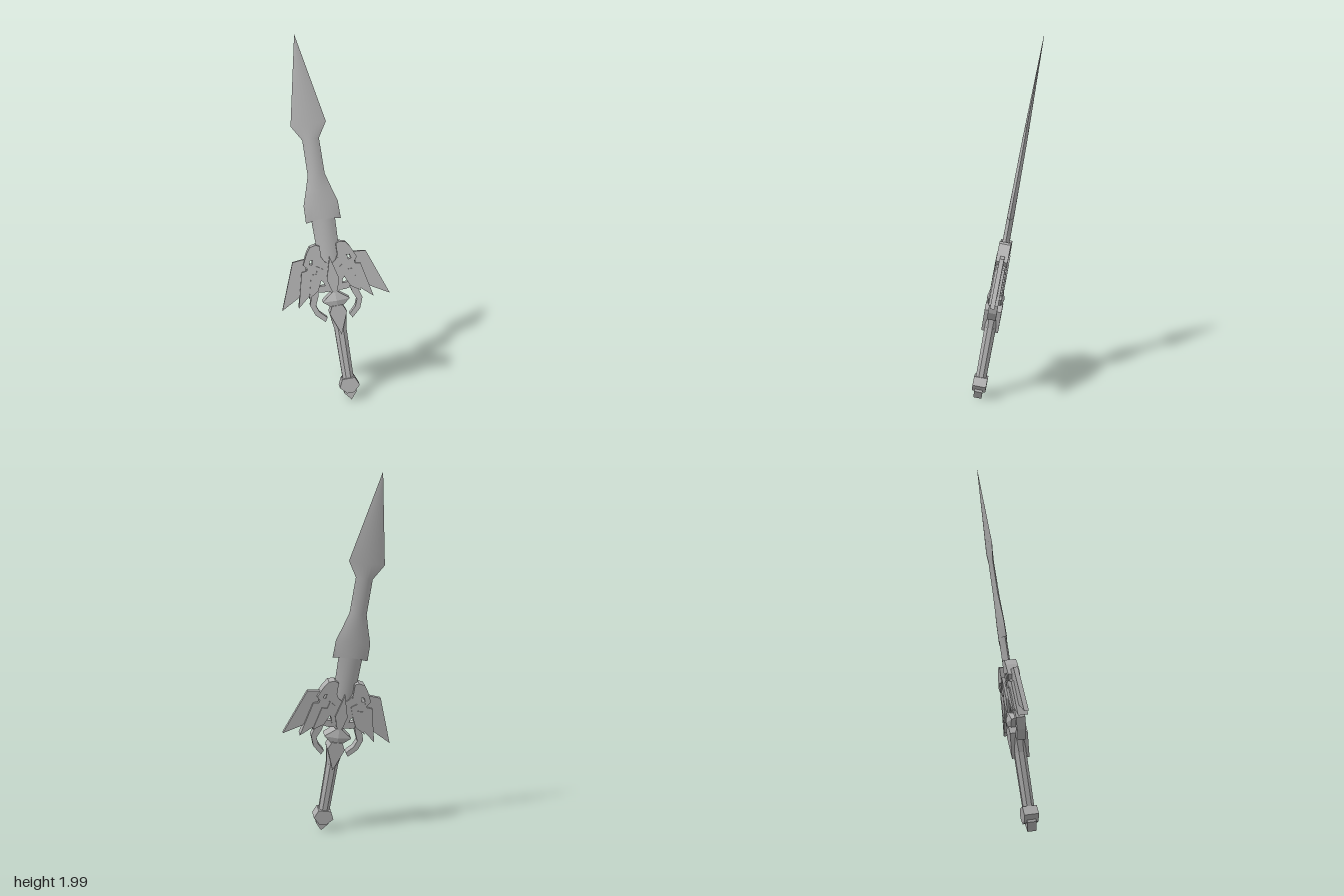
import * as THREE from 'three';

const steel = new THREE.MeshStandardMaterial({ color: 0xb0b0b0 });
steel.name = 'grey steel';

// Flat plate from an outline in the sword plane, extruded from depth n0 to n1.
function plate(name, pts, n0, n1) {
  const shape = new THREE.Shape(pts.map(p => new THREE.Vector2(p[0], p[1])));
  const geo = new THREE.ExtrudeGeometry(shape, { depth: n1 - n0, bevelEnabled: false });
  geo.translate(0, 0, n0);
  const mesh = new THREE.Mesh(geo, steel);
  mesh.name = name;
  return mesh;
}

// Outline symmetric about the sword axis, given by its right half.
const both = half => [...half, ...half.filter(p => p[0] > 0).reverse().map(p => [-p[0], p[1]])];
const flip = pts => pts.map(p => [-p[0], p[1]]);

// One curved face of the blade, lofted through rows of
// [edge height, centre height, half width, half thickness].
function bladeFace(rows, side) {
  const pos = [], index = [], cols = 8;
  rows.forEach(([edge, mid, w, t]) => {
    for (let c = 0; c <= cols; c++) {
      const k = c / cols * 2 - 1;
      pos.push(k * w, mid + (edge - mid) * Math.abs(k), side * t * (1 - k * k));
    }
  });
  for (let r = 0; r < rows.length - 1; r++) {
    for (let c = 0; c < cols; c++) {
      const a = r * (cols + 1) + c, b = a + 1, d = a + cols + 1, e = d + 1;
      if (side > 0) index.push(a, b, e, a, e, d);
      else index.push(a, e, b, a, d, e);
    }
  }
  const geo = new THREE.BufferGeometry();
  geo.setAttribute('position', new THREE.Float32BufferAttribute(pos, 3));
  geo.setIndex(index);
  geo.computeVertexNormals();
  const mesh = new THREE.Mesh(geo, steel);
  mesh.name = side > 0 ? 'bladeFront' : 'bladeBack';
  return mesh;
}

// Flat-sided tapered segment between heights y0 and y1.
function segment(name, r0, r1, y0, y1, sides, depth) {
  let geo = new THREE.CylinderGeometry(r1, r0, y1 - y0, sides);
  geo.rotateY(Math.PI / sides);
  geo.scale(1, 1, depth);
  geo = geo.toNonIndexed();
  geo.computeVertexNormals();
  const mesh = new THREE.Mesh(geo, steel);
  mesh.position.y = (y0 + y1) / 2;
  mesh.name = name;
  return mesh;
}

export function createModel() {
  const sword = new THREE.Group();
  sword.name = 'sword';

  // Blade with barbs, narrow neck and spear point
  const rows = [
    [0.72, 0.72, 0.060, 0.020], [0.87, 0.87, 0.062, 0.020],
    [1.036, 1.015, 0.066, 0.019], [1.012, 1.03, 0.097, 0.019],
    [1.11, 1.11, 0.095, 0.018], [1.19, 1.19, 0.070, 0.017], [1.27, 1.27, 0.047, 0.016],
    [1.465, 1.465, 0.046, 0.014], [1.548, 1.548, 0.097, 0.012], [2.029, 2.029, 0.0005, 0.001],
  ];
  sword.add(bladeFace(rows, 1), bladeFace(rows, -1));

  // Grip, with a flared throat under the guard
  sword.add(segment('grip', 0.033, 0.036, 0.09, 0.40, 8, 0.95));
  sword.add(segment('gripThroat', 0.036, 0.052, 0.40, 0.50, 8, 0.9));
  sword.add(plate('throatSpike', both([[0, 0.375], [0.048, 0.50], [0.03, 0.54]]), -0.047, 0.047));

  // Pommel
  sword.add(plate('pommel', both([[0.02, 0.035], [0.056, 0.072], [0.036, 0.118]]), -0.038, 0.038));
  sword.add(plate('pommelTip', both([[0, -0.008], [0.036, 0.035], [0.03, 0.06]]), -0.023, 0.023));

  // Diamond gem: a block with a shallow pyramid on each face
  sword.add(plate('gemBlock', both([[0, 0.508], [0.075, 0.57], [0, 0.627]]), -0.035, 0.035));
  for (const side of [1, -1]) {
    let cone = new THREE.ConeGeometry(1, 0.014, 4).toNonIndexed();
    cone.computeVertexNormals();
    cone.rotateX(side * Math.PI / 2);
    cone.scale(0.075, 0.06, 1);
    const facet = new THREE.Mesh(cone, steel);
    facet.position.set(0, 0.568, side * 0.042);
    facet.name = 'gemFacet';
    sword.add(facet);
  }

  // Central spike and the body that carries the wings
  sword.add(plate('centreSpike', both([[0, 0.60], [0.018, 0.63], [0.034, 0.69], [0, 0.815]]), -0.038, 0.038));
  sword.add(plate('guardBody', both([[0, 0.60], [0.04, 0.63], [0.055, 0.68], [0.10, 0.72],
    [0.10, 0.80], [0.062, 0.85], [0.03, 0.79], [0, 0.77]]), -0.026, 0.026));

  // Wing feathers, shoulders and claws, mirrored
  const parts = [
    ['outerFeather', [[0.13, 0.82], [0.205, 0.812], [0.302, 0.555], [0.20, 0.612], [0.14, 0.74]], 0.012],
    ['middleFeather', [[0.09, 0.78], [0.125, 0.79], [0.135, 0.755], [0.165, 0.75], [0.21, 0.556],
      [0.135, 0.62], [0.125, 0.69], [0.10, 0.70]], 0.026],
    ['innerFeather', [[0.045, 0.75], [0.075, 0.77], [0.085, 0.73], [0.115, 0.73], [0.145, 0.60],
      [0.09, 0.635], [0.065, 0.69]], 0.033],
    ['shoulder', [[0.045, 0.80], [0.045, 0.88], [0.066, 0.89], [0.10, 0.882], [0.122, 0.85],
      [0.15, 0.79], [0.125, 0.76], [0.11, 0.81], [0.085, 0.81], [0.08, 0.77]], 0.032],
    ['claw', [[0.085, 0.64], [0.125, 0.63], [0.147, 0.56], [0.125, 0.50], [0.076, 0.455],
      [0.062, 0.477], [0.10, 0.515], [0.115, 0.553], [0.095, 0.60]], 0.024],
    ['clawLink', [[0.03, 0.62], [0.04, 0.655], [0.10, 0.66], [0.105, 0.63], [0.065, 0.62]], 0.02],
  ];
  for (const [name, pts, t] of parts) {
    sword.add(plate(name + 'Left', pts, -t, t), plate(name + 'Right', flip(pts), -t, t));
  }

  // Lean and turn the whole sword
  const up = new THREE.Vector3(-0.187, 0.976, -0.111).normalize();
  const front = new THREE.Vector3(0.925, 0.135, -0.37).cross(up).normalize();
  const across = new THREE.Vector3().crossVectors(up, front);
  sword.applyMatrix4(new THREE.Matrix4().makeBasis(across, up, front).setPosition(0.10, 0.02, 0.085));

  const model = new THREE.Group();
  model.name = 'wingedSword';
  model.add(sword);
  return model;
}
